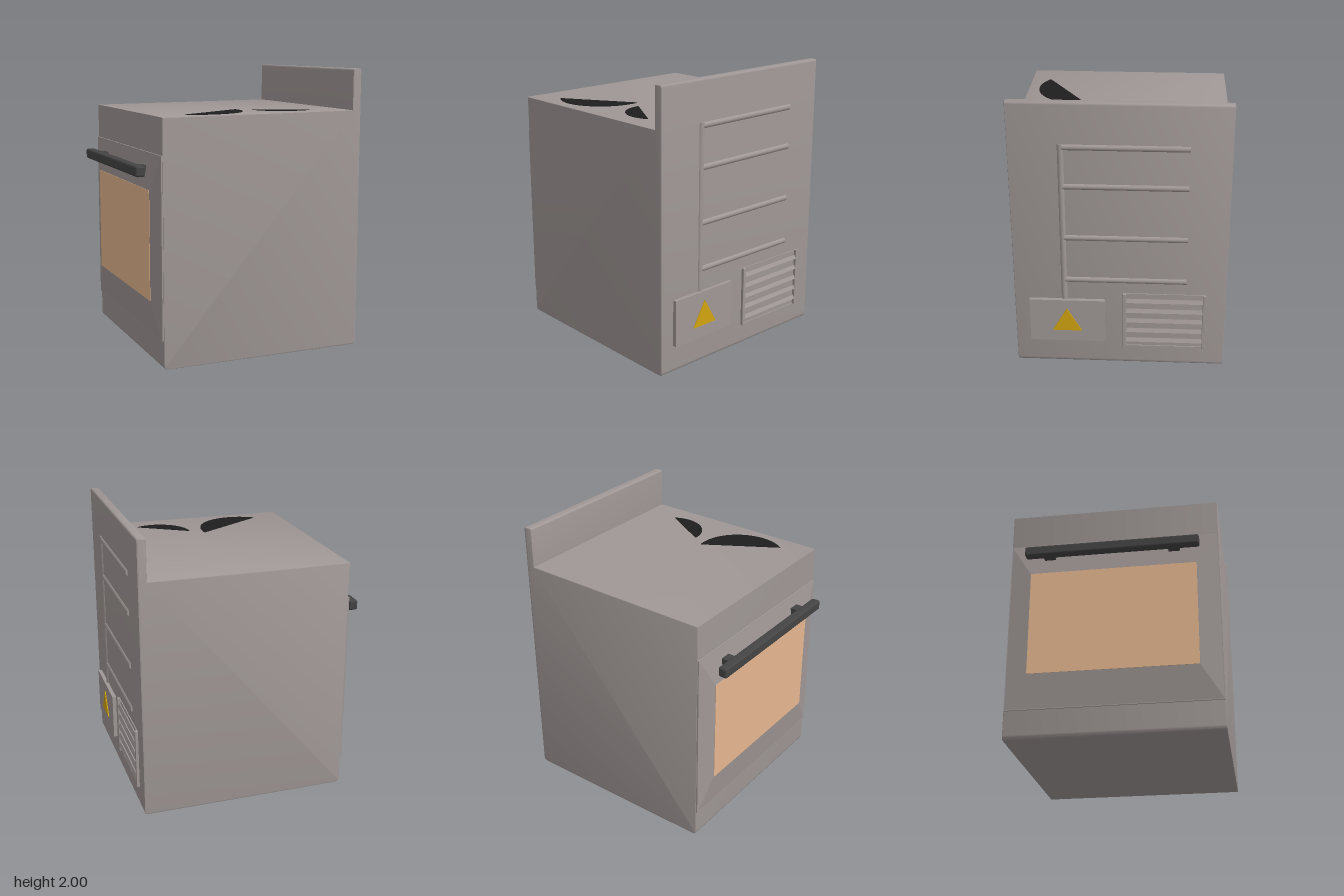
import * as THREE from 'three';
import { toCreasedNormals } from 'three/addons/utils/BufferGeometryUtils.js';
import { RoundedBoxGeometry } from 'three/addons/geometries/RoundedBoxGeometry.js';

const mat = (color) => new THREE.MeshStandardMaterial({ color });

export function createModel() {
  const root = new THREE.Group();
  const enamel = mat(0xa09896), dark = mat(0x444444), black = mat(0x1e1e1e);
  const glass = mat(0xe6b78f), yellow = mat(0xd2a510);

  const add = (name, geometry, material, x = 0, y = 0, z = 0, parent = root) => {
    const mesh = new THREE.Mesh(geometry, material);
    mesh.name = name;
    mesh.position.set(x, y, z);
    parent.add(mesh);
    return mesh;
  };
  // Box given by its extents on each axis
  const box = (name, material, [x0, x1], [y0, y1], [z0, z1], radius = 0, parent = root) => {
    const s = [x1 - x0, y1 - y0, z1 - z0];
    const g = radius ? new RoundedBoxGeometry(...s, 2, radius) : new THREE.BoxGeometry(...s);
    return add(name, g, material, (x0 + x1) / 2, (y0 + y1) / 2, (z0 + z1) / 2, parent);
  };

  // Body and raised back panel: one side profile extruded across the width
  const p = new THREE.Shape();
  p.moveTo(-0.66, 0);
  p.lineTo(0.765, 0);
  p.quadraticCurveTo(0.795, 0, 0.795, 0.03);
  p.lineTo(0.795, 1.985);
  p.quadraticCurveTo(0.795, 2, 0.78, 2);
  p.lineTo(0.745, 2);
  p.quadraticCurveTo(0.73, 2, 0.73, 1.985);
  p.lineTo(0.73, 1.71);
  p.lineTo(-0.69, 1.7);
  p.lineTo(-0.69, 0.03);
  p.quadraticCurveTo(-0.69, 0, -0.66, 0);
  const b = 0.008;
  const bodyGeo = new THREE.ExtrudeGeometry(p, {
    depth: 1.48 - 2 * b, bevelSize: b, bevelThickness: b, bevelOffset: -b, bevelSegments: 2, curveSegments: 5,
  });
  bodyGeo.translate(0, 0, -0.74 + b);
  add('body', toCreasedNormals(bodyGeo, 0.6), enamel);

  // Door: flat plate with a shallow bevelled front
  box('doorPlate', enamel, [-0.699, -0.65], [0.2, 1.45], [-0.735, 0.735]);
  let doorGeo = new THREE.BoxGeometry(0.032, 1.25, 1.47);
  const pos = doorGeo.attributes.position;
  for (let i = 0; i < pos.count; i++) {
    if (pos.getX(i) < 0) {
      pos.setY(i, Math.sign(pos.getY(i)) * 0.38);
      pos.setZ(i, Math.sign(pos.getZ(i)) * 0.585);
    }
  }
  doorGeo = doorGeo.toNonIndexed();
  doorGeo.computeVertexNormals();
  add('door', doorGeo, enamel, -0.714, 0.825, 0);
  box('doorWindow', glass, [-0.733, -0.72], [0.445, 1.205], [-0.583, 0.583]);

  // Door handle
  const handle = new THREE.Group();
  handle.name = 'doorHandle';
  root.add(handle);
  box('handleBar', dark, [-0.83, -0.763], [1.3, 1.373], [-0.61, 0.61], 0.015, handle);
  for (const z of [-0.45, 0.43]) {
    box('handlePost', dark, [-0.775, -0.7], [1.313, 1.36], [z - 0.04, z + 0.04], 0, handle);
  }

  // Two slanted dark circle segments lying on the sloping top
  const eyes = new THREE.Group();
  eyes.name = 'eyes';
  eyes.position.set(-0.69, 1.7, 0);
  eyes.rotation.z = Math.atan2(0.01, 1.42);
  root.add(eyes);
  const segment = (name, cx, cz, r, a0, a1) => {
    const s = new THREE.Shape();
    s.absarc(cx + 0.69, cz, r, a0, a1, false);
    s.closePath();
    const g = new THREE.ExtrudeGeometry(s, { depth: 0.004, bevelEnabled: false, curveSegments: 32 });
    g.rotateX(Math.PI / 2);
    add(name, g, black, 0, 0.003, 0, eyes);
  };
  segment('largeEye', -0.285, 0.345, 0.315, Math.atan2(-0.055, 0.305), Math.atan2(0.245, -0.185));
  segment('smallEye', 0.36, 0.37, 0.235, Math.atan2(0.2, 0.115), Math.PI + 0.04);

  // Pipes half sunk into the back
  const pipe = (name, length, y, z, alongZ) => {
    const m = add(name, new THREE.CylinderGeometry(0.023, 0.023, length, 12), enamel, 0.785, y, z);
    if (alongZ) m.rotation.x = Math.PI / 2;
  };
  for (const y of [1.692, 1.408, 1.022, 0.692]) pipe('pipe', 0.85, y, -0.037, true);
  pipe('pipeRiser', 1.21, 1.11, 0.388, false);

  // Electrical cover with a warning triangle
  box('coverPlate', enamel, [0.78, 0.823], [0.2, 0.535], [0.105, 0.635]);
  const tri = new THREE.Shape([
    new THREE.Vector2(-0.103, 0.29), new THREE.Vector2(0.103, 0.29), new THREE.Vector2(0, 0.47),
  ]);
  const triGeo = new THREE.ExtrudeGeometry(tri, { depth: 0.012, bevelEnabled: false });
  triGeo.rotateY(Math.PI / 2);
  add('warningTriangle', triGeo, yellow, 0.818, 0, 0.372);

  // Vent grille: two rails with tilted slats between
  const vent = new THREE.Group();
  vent.name = 'vent';
  root.add(vent);
  for (const z of [-0.033, -0.593]) {
    box('ventRail', enamel, [0.78, 0.816], [0.15, 0.59], [z - 0.0125, z + 0.0125], 0.004, vent);
  }
  for (let i = 0; i < 5; i++) {
    const y = 0.207 + i * 0.081;
    const slat = box('ventSlat', enamel, [0.789, 0.811], [y - 0.015, y + 0.015], [-0.583, -0.043], 0, vent);
    slat.rotation.z = 0.45;
  }
  for (const y of [0.154, 0.586]) {
    box('ventEdge', enamel, [0.78, 0.802], [y - 0.004, y + 0.004], [-0.583, -0.043], 0, vent);
  }
  return root;
}
